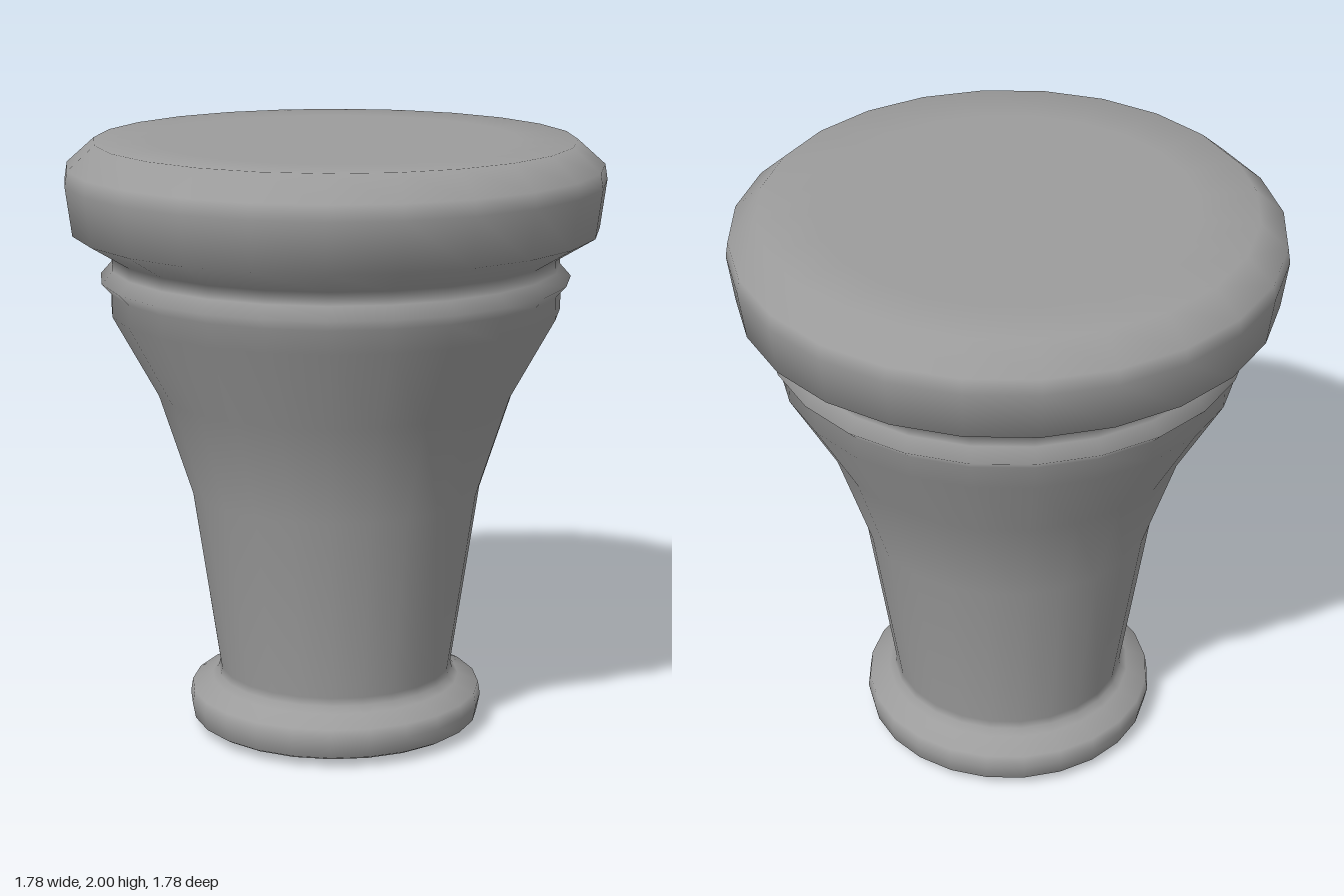
import * as THREE from 'three';

const SIDES = 24;

// [radius, height] pairs of each section, from bottom to top
const foot = [
  [0, 0], [0.3, 0], [0.38, 0.005], [0.468, 0.027], [0.487, 0.038], [0.497, 0.09],
  [0.49, 0.135], [0.42, 0.165], [0.4, 0.185],
];
const stem = [
  [0.394, 0.21], [0.485, 0.83], [0.595, 1.17], [0.743, 1.44], [0.743, 1.515],
];
const collar = [
  [0.776, 1.55], [0.74, 1.59], [0.74, 1.633],
];
const cap = [
  [0.867, 1.71], [0.888, 1.87], [0.88, 1.92], [0.79, 2], [0.6, 2], [0, 2],
];

export function createModel() {
  const group = new THREE.Group();

  // One turned piece, so shading flows smoothly from foot to cap
  const points = [...foot, ...stem, ...collar, ...cap].map(([r, y]) => new THREE.Vector2(r, y));
  const pedestal = new THREE.Mesh(
    new THREE.LatheGeometry(points, SIDES),
    new THREE.MeshStandardMaterial({ color: 0x9c9c9c }),
  );
  pedestal.name = 'turnedPedestal';
  group.add(pedestal);

  return group;
}
